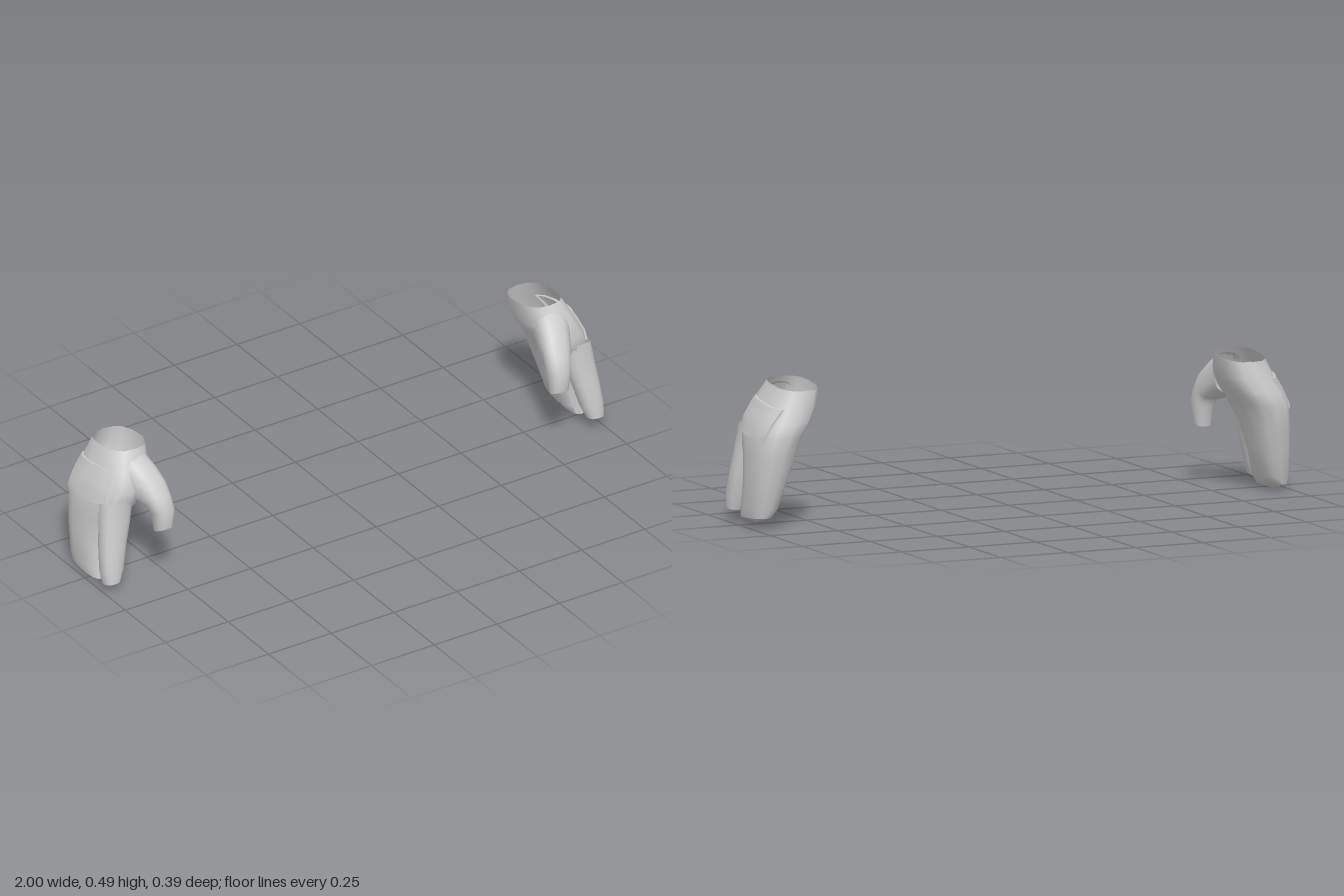
import * as THREE from 'three';
import { toCreasedNormals } from 'three/addons/utils/BufferGeometryUtils.js';

const SIDES = 14, ROUND = 0.75;
const power = v => Math.sign(v) * Math.abs(v) ** ROUND;

// Sections, each: inner x, outer x, front z, front y, back z, back y
const PALM = [
  [0.757, 0.905, 0.04, 0.494, -0.165, 0.47],
  [0.765, 0.938, 0.08, 0.43, -0.178, 0.41],
  [0.79, 0.966, 0.1, 0.37, -0.19, 0.36],
  [0.825, 0.982, 0.095, 0.31, -0.197, 0.32],
  [0.85, 0.99, 0.05, 0.25, -0.183, 0.245],
  [0.878, 0.994, 0.03, 0.15, -0.165, 0.16],
  [0.903, 0.997, 0.037, 0.06, -0.143, 0.07],
  [0.925, 0.992, 0.04, 0.028, -0.132, 0.04],
];
const INDEX = [
  [0.86, 0.972, 0.097, 0.34, 0.0, 0.32],
  [0.875, 0.983, 0.102, 0.26, 0.02, 0.25],
  [0.9, 0.993, 0.115, 0.18, 0.036, 0.17],
  [0.92, 1.0, 0.128, 0.1, 0.056, 0.09],
  [0.94, 0.996, 0.131, 0.054, 0.073, 0.042],
];
const THUMB = [
  [0.775, 0.89, 0.045, 0.475, 0.01, 0.34],
  [0.765, 0.885, 0.085, 0.448, 0.06, 0.315],
  [0.757, 0.862, 0.127, 0.405, 0.1, 0.31],
  [0.755, 0.845, 0.16, 0.357, 0.108, 0.3],
  [0.755, 0.832, 0.186, 0.31, 0.114, 0.28],
  [0.764, 0.822, 0.18, 0.238, 0.125, 0.212],
];

function makeMesh(name, points, index, side) {
  // swap the corner order on the mirrored hand
  if (side < 0) for (let i = 0; i < index.length; i += 3) [index[i], index[i + 1]] = [index[i + 1], index[i]];
  const geo = new THREE.BufferGeometry();
  geo.setAttribute('position', new THREE.Float32BufferAttribute(points.flatMap(([x, y, z]) => [x * side, y, z]), 3));
  geo.setIndex(index);
  const mesh = new THREE.Mesh(toCreasedNormals(geo, 0.85),
    new THREE.MeshStandardMaterial({ color: 0xcccccc, side: THREE.DoubleSide }));
  mesh.name = name;
  return mesh;
}

// Skin over the sections, open at the start and capped at the tip
function loft(name, sections, side, tipDrop) {
  const points = [], index = [];
  for (const [x0, x1, zf, yf, zb, yb] of sections)
    for (let j = 0; j < SIDES; j++) {
      const t = j / SIDES * Math.PI * 2, c = power(Math.cos(t)) / 2, s = power(Math.sin(t)) / 2;
      points.push([(x0 + x1) / 2 + (x1 - x0) * s, (yf + yb) / 2 + (yf - yb) * c, (zf + zb) / 2 + (zf - zb) * c]);
    }
  const last = sections.length - 1;
  for (let i = 0; i < last; i++)
    for (let j = 0; j < SIDES; j++) {
      const a = i * SIDES + j, b = i * SIDES + (j + 1) % SIDES;
      index.push(a, a + SIDES, b, b, a + SIDES, b + SIDES);
    }
  const [x0, x1, zf, yf, zb, yb] = sections[last];
  points.push([(x0 + x1) / 2, (yf + yb) / 2 - tipDrop, (zf + zb) / 2]);
  for (let j = 0; j < SIDES; j++)
    index.push(last * SIDES + j, points.length - 1, last * SIDES + (j + 1) % SIDES);
  return makeMesh(name, points, index, side);
}

// Outer x of the palm skin at a given z and y
function palmX(z, y) {
  const at = PALM.map(([x0, x1, zf, yf, zb, yb]) => {
    const c = THREE.MathUtils.clamp((2 * z - zf - zb) / (zf - zb), -1, 1);
    const s = (1 - Math.abs(c) ** (2 / ROUND)) ** (ROUND / 2);
    return { y: (yf + yb) / 2 + (yf - yb) * c / 2, x: (x0 + x1) / 2 + (x1 - x0) / 2 * s };
  });
  const i = Math.max(1, at.findIndex(p => p.y <= y));
  return THREE.MathUtils.mapLinear(y, at[i - 1].y, at[i].y, at[i - 1].x, at[i].x);
}

// Raised panel on the back of the hand, its border tucked into the skin
function backPanel(side) {
  const points = [], index = [], nu = 8, nv = 6, w = nu + 3;
  const mix = THREE.MathUtils.lerp;
  for (let i = -1; i <= nv + 1; i++)
    for (let j = -1; j <= nu + 1; j++) {
      const v = THREE.MathUtils.clamp(i / nv, 0, 1), u = THREE.MathUtils.clamp(j / nu, 0, 1);
      const z = mix(mix(0.035, -0.16, u), mix(0.065, -0.15, u), v);
      const y = mix(mix(0.437, 0.41, u), mix(0.33, 0.3, u) - 0.006 * Math.sin(u * Math.PI), v);
      const border = i < 0 || j < 0 || i > nv || j > nu;
      points.push([palmX(z, y) + (border ? -0.012 : 0.006), y, z]);
    }
  for (let i = 0; i < nv + 2; i++)
    for (let j = 0; j < nu + 2; j++) {
      const a = i * w + j;
      index.push(a, a + w, a + 1, a + 1, a + w, a + w + 1);
    }
  return makeMesh('backPanel', points, index, side);
}

function hand(name, side) {
  const group = new THREE.Group();
  group.name = name;
  group.add(
    loft('palmAndFingers', PALM, side, 0.016),
    loft('indexFinger', INDEX, side, 0.004),
    loft('thumb', THUMB, side, 0.004),
    backPanel(side));
  return group;
}

export function createModel() {
  const model = new THREE.Group();
  model.name = 'glovePair';
  const left = hand('leftGlove', 1), right = hand('rightGlove', -1);
  // the right glove hangs slightly lower and further forward
  right.position.set(0, -0.015, 0.011);
  model.add(left, right);
  return model;
}
